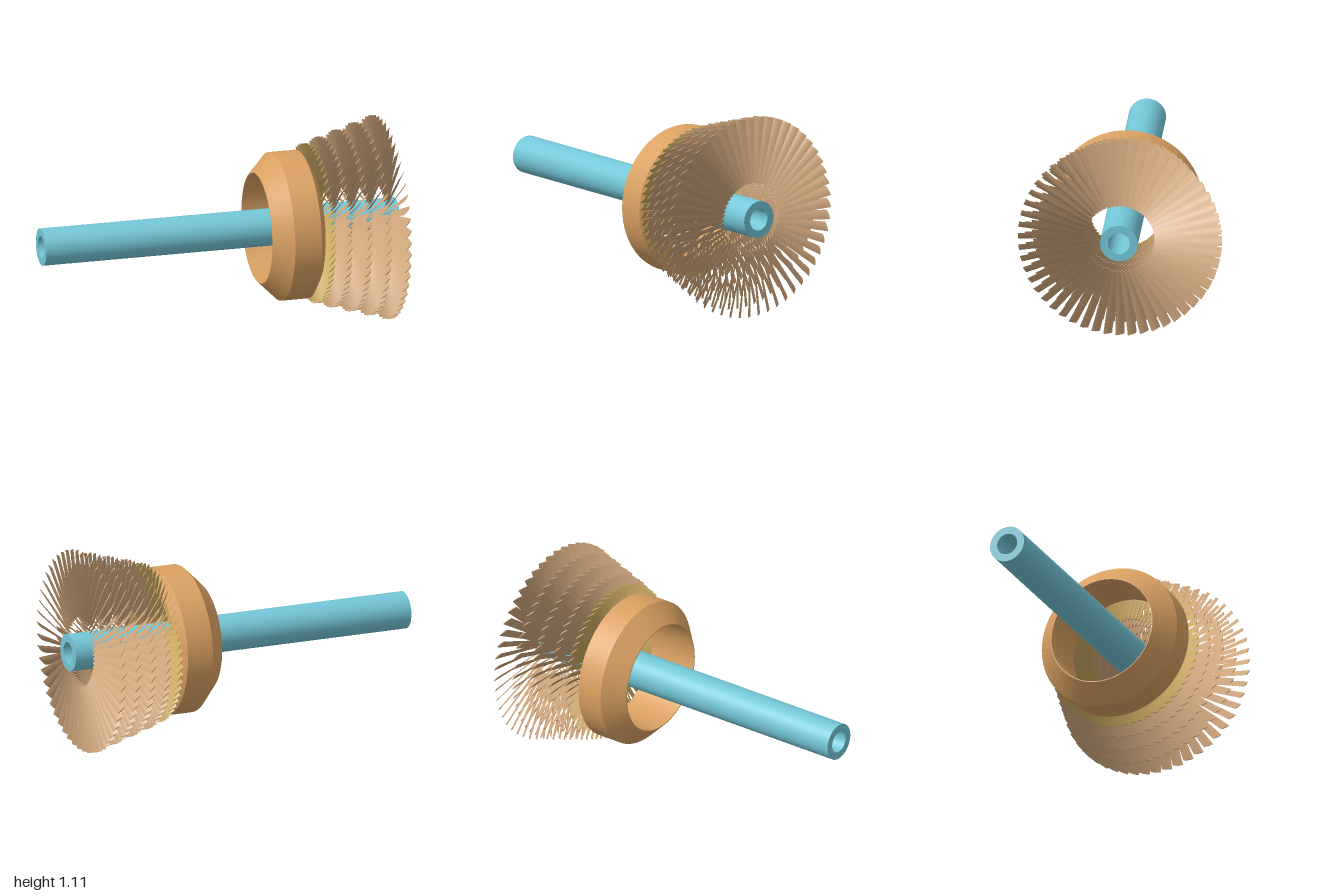
import * as THREE from 'three';
import { mergeGeometries } from 'three/addons/utils/BufferGeometryUtils.js';

const AXIS_Y = 0.555;
const ROOT_R = 0.19;

const mat = (name, color) => {
  const m = new THREE.MeshStandardMaterial({ color });
  m.name = name;
  return m;
};

// Closed [x, radius] profile turned about the x axis, with crisp edges between bands
function turned(profile, segments = 64) {
  const bands = profile.map((p, i) => {
    const q = profile[(i + 1) % profile.length];
    return new THREE.LatheGeometry(
      [new THREE.Vector2(p[1], p[0]), new THREE.Vector2(q[1], q[0])], segments);
  });
  return mergeGeometries(bands).rotateZ(-Math.PI / 2);
}

// One thin, pitched and slightly twisted blade pointing up from the axis
function bladeGeometry(tipR) {
  const CHORD = 5, STATIONS = 3, loop = 2 * (CHORD + 1);
  const pos = [], idx = [];
  const addLoop = (t) => {
    const hx = THREE.MathUtils.lerp(0.023, 0.019, t);
    const hz = THREE.MathUtils.lerp(0.019, 0.023, t);
    const len = Math.hypot(hx, hz);
    const y = THREE.MathUtils.lerp(ROOT_R, tipR, t);
    for (let k = 0; k < loop; k++) {
      const upper = k <= CHORD;
      const s = (upper ? k : loop - 1 - k) / CHORD * 2 - 1;
      const off = (0.003 + (upper ? 0.0025 : -0.0025)) * (1 - s * s);
      pos.push(s * hx + off * hz / len, y, -s * hz + off * hx / len);
    }
  };
  for (let j = 0; j < STATIONS; j++) addLoop(j / (STATIONS - 1));
  // Both faces of the blade
  for (let j = 0; j < STATIONS - 1; j++) {
    for (let k = 0; k < loop - 1; k++) {
      if (k === CHORD) continue;
      const a = j * loop + k, b = a + 1, d = a + loop, c = d + 1;
      idx.push(a, b, c, a, c, d);
    }
  }
  // Root and tip caps
  const root = STATIONS * loop, tip = root + loop;
  addLoop(0);
  addLoop(1);
  for (let k = 1; k < loop - 1; k++) {
    idx.push(root, root + k + 1, root + k, tip, tip + k, tip + k + 1);
  }
  const g = new THREE.BufferGeometry();
  g.setAttribute('position', new THREE.Float32BufferAttribute(pos, 3));
  g.setIndex(idx);
  g.computeVertexNormals();
  return g;
}

// Full ring of blades
function bladeRing(tipR, count) {
  const blade = bladeGeometry(tipR);
  const all = [];
  for (let i = 0; i < count; i++) {
    all.push(blade.clone().rotateX(i / count * Math.PI * 2));
  }
  return mergeGeometries(all);
}

export function createModel() {
  const blue = mat('shaftBlue', 0x74c7d8);
  const orange = mat('casingOrange', 0xdaa162);
  const tan = mat('bladeTan', 0xcfa67c);
  const gold = mat('bladeGold', 0xccaa62);

  const model = new THREE.Group();
  model.name = 'bladedRotor';
  const add = (name, geometry, material, x = 0) => {
    const mesh = new THREE.Mesh(geometry, material);
    mesh.name = name;
    mesh.position.set(x, AXIS_Y, 0);
    model.add(mesh);
  };

  // Hollow shaft
  add('shaft', turned([[-1, 0.06], [-1, 0.102], [1, 0.102], [1, 0.06]], 48), blue);

  // Chamfered open casing ring
  add('casingRing', turned([
    [0.22, 0.3], [0.22, 0.305], [0.32, 0.405], [0.47, 0.405], [0.51, 0.34], [0.51, 0.3],
  ]), orange);

  // Five blade stages, growing toward the free end
  const stages = [
    [0.525, 0.435, 60], [0.61, 0.465, 58], [0.712, 0.495, 56],
    [0.815, 0.525, 54], [0.917, 0.555, 52],
  ];
  stages.forEach(([x, tipR, count], i) =>
    add(`bladeStage${i + 1}`, bladeRing(tipR, count), i === 0 ? gold : tan, x));

  return model;
}
